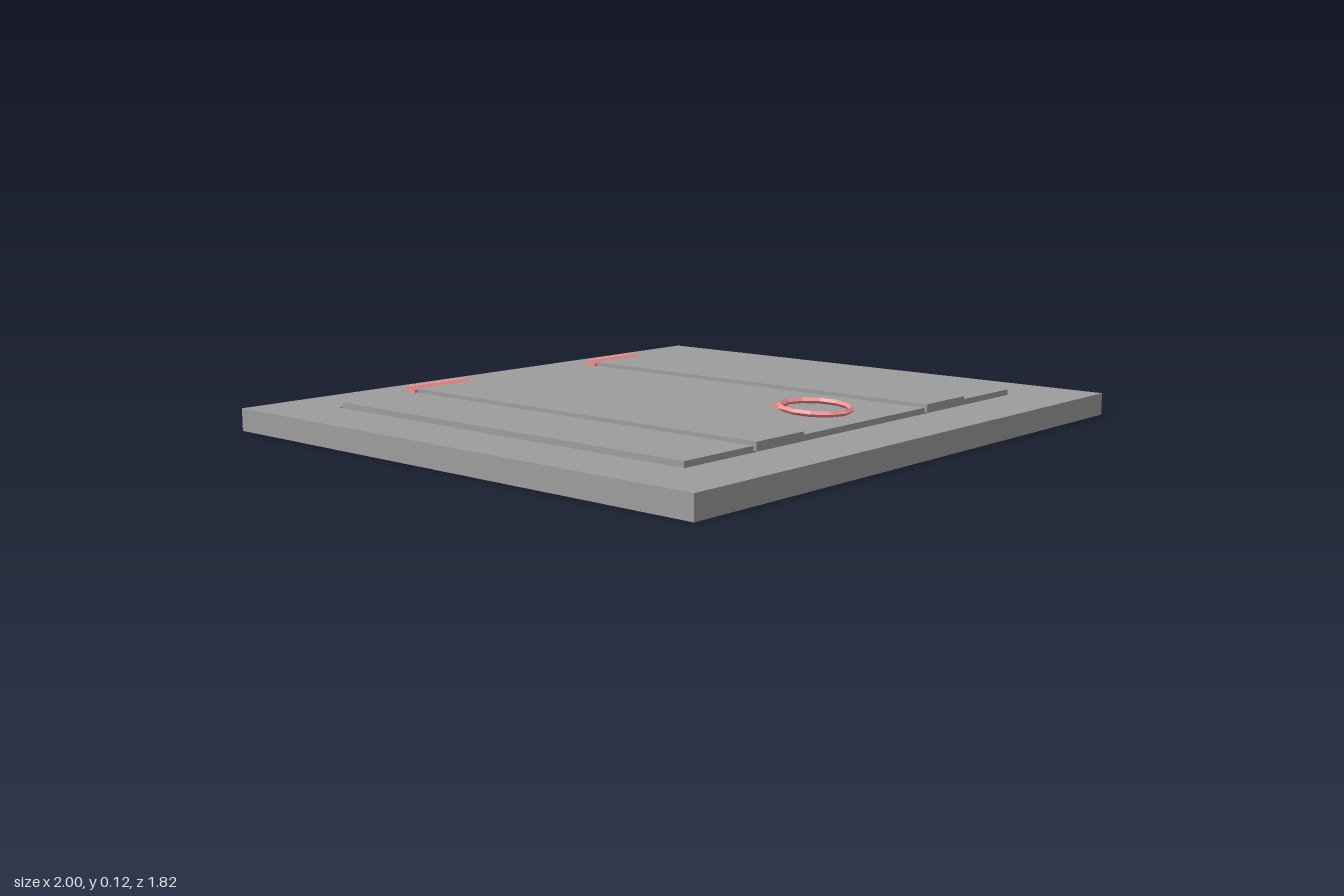
import * as THREE from 'three';

const makeMaterial = (color) =>
  new THREE.MeshStandardMaterial({ color, flatShading: true, side: THREE.DoubleSide });
const grey = makeMaterial(0x9d9d9d);
const red = makeMaterial(0xf09090);

function add(group, name, geometry, material) {
  const mesh = new THREE.Mesh(geometry, material);
  mesh.name = name;
  group.add(mesh);
  return mesh;
}

// Skin joining a series of rectangles [halfWidth, zBack, zFront, y]
function rectLoft(levels) {
  const pos = [], index = [];
  for (const [w, z0, z1, y] of levels) pos.push(w, y, z1, w, y, z0, -w, y, z0, -w, y, z1);
  for (let l = 0; l < levels.length - 1; l++) {
    for (let i = 0; i < 4; i++) {
      const a = l * 4 + i, b = l * 4 + (i + 1) % 4;
      index.push(a, b, b + 4, a, b + 4, a + 4);
    }
  }
  const g = new THREE.BufferGeometry();
  g.setAttribute('position', new THREE.Float32BufferAttribute(pos, 3));
  g.setIndex(index);
  const flat = g.toNonIndexed();
  flat.computeVertexNormals();
  return flat;
}

// Board with no underside
function openBoard(x0, x1, y0, y1, z0, z1) {
  const g = new THREE.BoxGeometry(x1 - x0, y1 - y0, z1 - z0);
  const idx = Array.from(g.index.array);
  idx.splice(18, 6);
  g.setIndex(idx);
  g.translate((x0 + x1) / 2, (y0 + y1) / 2, (z0 + z1) / 2);
  return g;
}

// Bar along x with a side profile given as [z, y] points
function profileBar(points, width) {
  const shape = new THREE.Shape(points.map(([z, y]) => new THREE.Vector2(-z, y)));
  const g = new THREE.ExtrudeGeometry(shape, { depth: width, bevelEnabled: false });
  return g.translate(0, 0, -width / 2).rotateY(Math.PI / 2);
}

export function createModel() {
  const model = new THREE.Group();
  model.name = 'trapdoor';

  // Hollow surround, with a narrow groove around the door opening
  add(model, 'frame', rectLoft([
    [1, -0.912, 0.912, 0],
    [1, -0.912, 0.912, 0.07],
    [0.795, -0.706, 0.702, 0.07],
    [0.795, -0.706, 0.702, 0.06],
    [0.785, -0.698, 0.692, 0.06],
  ]), grey);

  // Door planks and raised straps
  const door = new THREE.Group();
  door.name = 'door';
  model.add(door);
  add(door, 'middlePlank', openBoard(-0.303, 0.303, 0.06, 0.085, -0.698, 0.692), grey);
  for (const s of [1, -1]) {
    const side = s > 0 ? 'left' : 'right';
    const across = (a, b) => (s > 0 ? [a, b] : [-b, -a]);
    add(door, side + 'Plank', openBoard(...across(0.508, 0.785), 0.06, 0.085, -0.698, 0.692), grey);
    add(door, side + 'Strap', openBoard(...across(0.303, 0.508), 0.07, 0.097, -0.698, 0.702), grey);

    // Hinge with upright sides and a chamfered top
    const hinge = profileBar([
      [-0.676, 0.068], [-0.676, 0.094], [-0.687, 0.106],
      [-0.709, 0.106], [-0.72, 0.094], [-0.72, 0.068],
    ], 0.23);
    add(model, side + 'Hinge', hinge, red).position.x = s * 0.405;
  }

  // Pull ring, resting slightly tilted
  const ring = new THREE.TorusGeometry(0.106, 0.009, 4, 12);
  ring.rotateX(Math.PI / 2 + 0.05);
  add(model, 'pullRing', ring, red).position.set(0, 0.105, 0.513);

  // Staple holding the ring
  add(model, 'ringStaple', profileBar([
    [0.36, 0.084], [0.36, 0.096], [0.385, 0.11], [0.403, 0.114], [0.408, 0.105], [0.385, 0.084],
  ], 0.026), red);

  return model;
}
